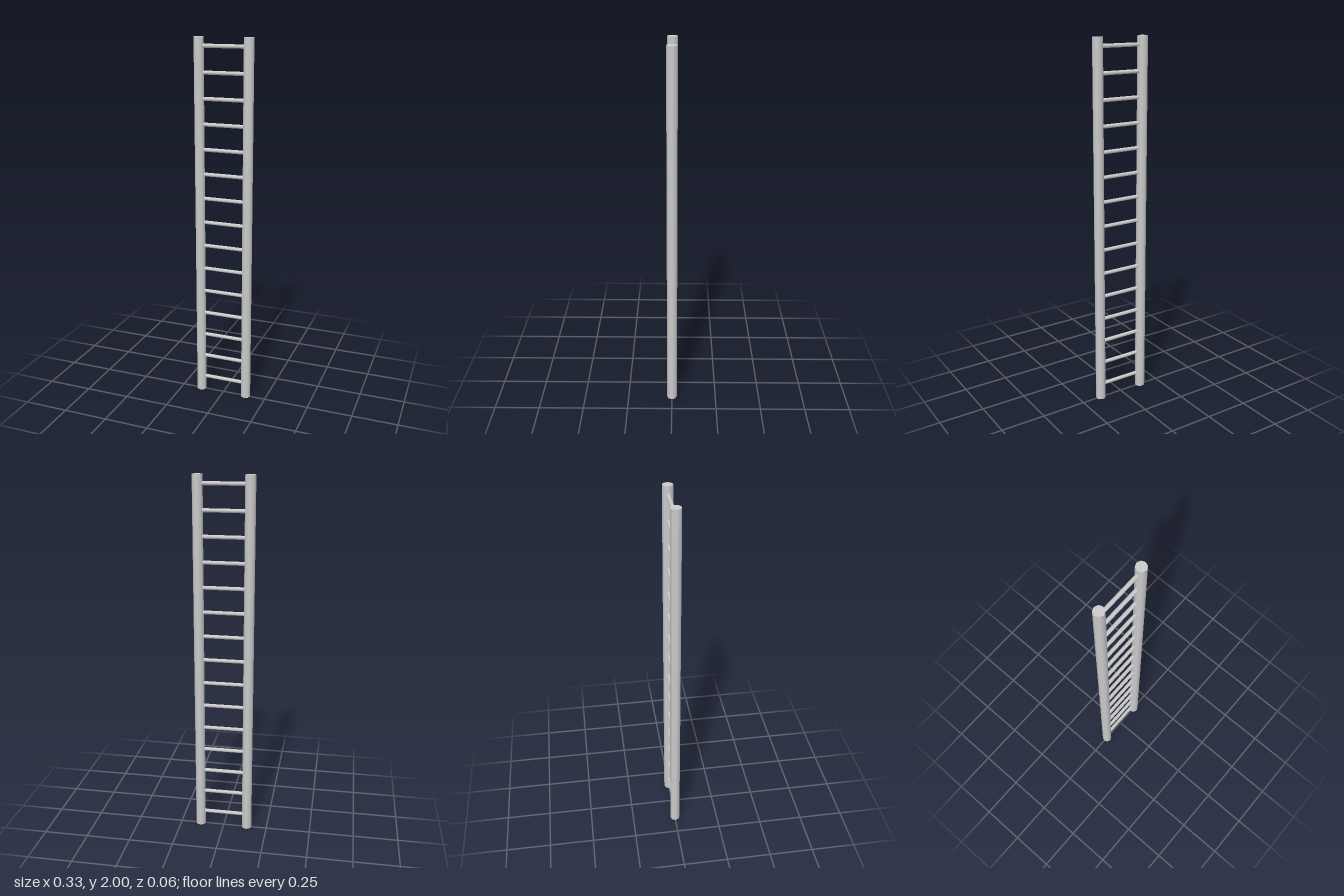
import * as THREE from 'three';

export function createModel() {
  const model = new THREE.Group();
  model.name = 'ladder';
  const material = new THREE.MeshStandardMaterial({ color: 0xcccccc });

  const height = 2, railRadius = 0.028, railX = 0.135;
  const rungCount = 15, rungRadius = 0.0105, firstRung = 0.083, rungStep = 0.1337;

  // Two upright eight-sided rails
  const railGeometry = new THREE.CylinderGeometry(railRadius, railRadius, height, 8);
  for (const [name, side] of [['leftRail', 1], ['rightRail', -1]]) {
    const rail = new THREE.Mesh(railGeometry, material);
    rail.name = name;
    rail.position.set(side * railX, height / 2, 0);
    model.add(rail);
  }

  // Evenly spaced rungs, ending inside the rails
  const rungGeometry = new THREE.CylinderGeometry(rungRadius, rungRadius, railX * 2, 8);
  rungGeometry.rotateZ(Math.PI / 2);
  for (let i = 0; i < rungCount; i++) {
    const rung = new THREE.Mesh(rungGeometry, material);
    rung.name = `rung${i + 1}`;
    rung.position.y = firstRung + i * rungStep;
    model.add(rung);
  }

  return model;
}
